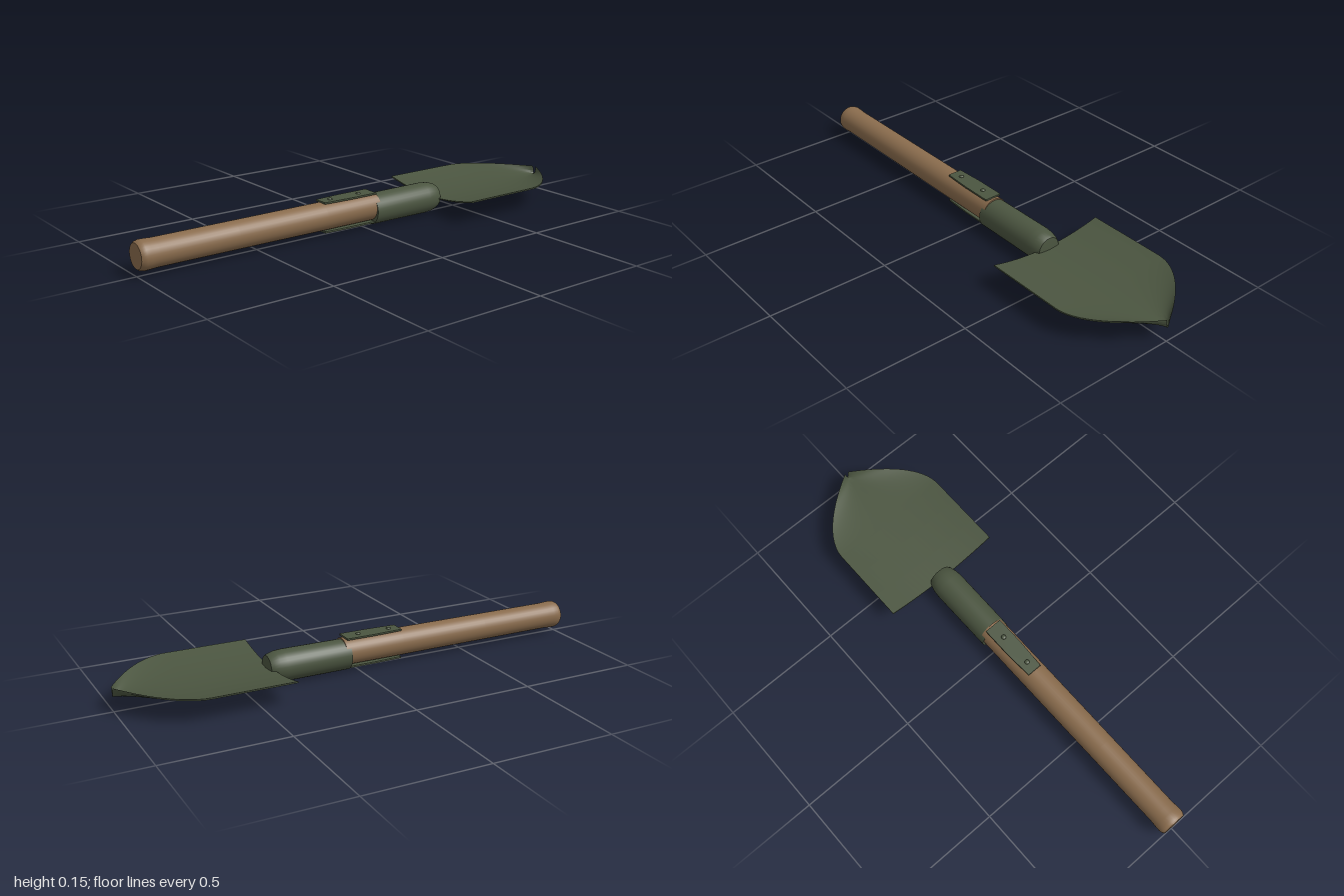
import * as THREE from 'three';
import { toCreasedNormals } from 'three/addons/utils/BufferGeometryUtils.js';

const green = new THREE.MeshStandardMaterial({ color: 0x4b5540 });
green.name = 'olive green';
const wood = new THREE.MeshStandardMaterial({ color: 0x8a6c4d });
wood.name = 'wood brown';

function add(group, name, geometry, material, x = 0, y = 0, z = 0) {
  const mesh = new THREE.Mesh(geometry, material);
  mesh.name = name;
  mesh.position.set(x, y, z);
  group.add(mesh);
  return mesh;
}

// Turned part along x from [x, radius] pairs running from -x to +x
function turned(profile) {
  const points = profile.map(([x, r]) => new THREE.Vector2(r, x));
  const geo = new THREE.LatheGeometry(points, 32).rotateZ(-Math.PI / 2);
  return toCreasedNormals(geo, 0.5);
}

// Half width of the blade at x: parallel sides, then a curved point
function halfWidth(x) {
  const t = Math.max(0, (x - 0.71) / 0.29);
  return 0.008 + 0.252 * (1 - Math.pow(t, 1.85));
}

// Dished sheet: one curved section, squeezed to the outline along x
function bladeGeometry() {
  const across = 24;
  const stations = [0.37, 0.48, 0.6];
  for (let i = 0; i <= 20; i++) stations.push(0.71 + 0.29 * Math.sin((i / 20) * Math.PI / 2));
  const rings = stations.map((x) => {
    const w = halfWidth(x);
    const ring = [];
    for (let k = 0; k <= across; k++) {
      const u = 1 - (2 * k) / across;
      ring.push([x, 0.066 + 0.033 * u * u, u * w]);
    }
    for (let k = across; k >= 0; k--) {
      const u = 1 - (2 * k) / across;
      ring.push([x, 0.062 + 0.031 * u * u, u * w]);
    }
    return ring;
  });
  const pos = [];
  const quad = (a, b, c, d) => pos.push(...a, ...b, ...c, ...a, ...c, ...d);
  const n = rings[0].length;
  for (let i = 0; i < rings.length - 1; i++) {
    for (let j = 0; j < n; j++) {
      const m = (j + 1) % n;
      quad(rings[i][j], rings[i + 1][j], rings[i + 1][m], rings[i][m]);
    }
  }
  // Thin caps at the straight back edge and at the tip
  const first = rings[0];
  const last = rings[rings.length - 1];
  for (let k = 0; k < across; k++) {
    quad(first[k], first[k + 1], first[n - 2 - k], first[n - 1 - k]);
    quad(last[k], last[n - 1 - k], last[n - 2 - k], last[k + 1]);
  }
  const geo = new THREE.BufferGeometry();
  geo.setAttribute('position', new THREE.Float32BufferAttribute(pos, 3));
  return toCreasedNormals(geo, 0.6);
}

// Flat strap, slightly narrower at its free end
function strapGeometry() {
  const shape = new THREE.Shape();
  shape.moveTo(-0.2, -0.031);
  shape.lineTo(-0.08, -0.037);
  shape.lineTo(0.05, -0.037);
  shape.lineTo(0.05, 0.037);
  shape.lineTo(-0.08, 0.037);
  shape.lineTo(-0.2, 0.031);
  shape.closePath();
  return new THREE.ExtrudeGeometry(shape, { depth: 0.007, bevelEnabled: false })
    .rotateX(-Math.PI / 2).translate(0, -0.0035, 0);
}

export function createModel() {
  const model = new THREE.Group();
  model.name = 'shovel';

  // Wooden handle with a slightly swollen, chamfered end
  add(model, 'handle', turned([
    [-1, 0], [-1, 0.049], [-0.992, 0.055], [-0.98, 0.058], [-0.96, 0.0575], [-0.93, 0.0555],
    [-0.6, 0.056], [-0.2, 0.057], [0.06, 0.057], [0.06, 0],
  ]), wood, 0, 0.079);

  // Metal socket with a tapered nose
  add(model, 'socket', turned([
    [0.04, 0], [0.04, 0.0635], [0.32, 0.0645], [0.35, 0.062], [0.375, 0.055], [0.386, 0.049], [0.39, 0],
  ]), green, 0, 0.0665);

  // Riveted straps above and below the handle
  for (const side of [1, -1]) {
    const name = side > 0 ? 'upper' : 'lower';
    const y = 0.079 + side * 0.0595;
    add(model, name + 'Strap', strapGeometry(), green, 0, y);
    for (const x of [-0.155, -0.015]) {
      const rivet = new THREE.SphereGeometry(0.01, 16, 6, 0, Math.PI * 2, 0, Math.PI / 2);
      rivet.scale(1, 0.65, 1);
      const mesh = add(model, name + 'Rivet', rivet, green, x, y + side * 0.0033);
      if (side < 0) mesh.rotation.x = Math.PI;
    }
  }

  add(model, 'blade', bladeGeometry(), green);
  return model;
}
